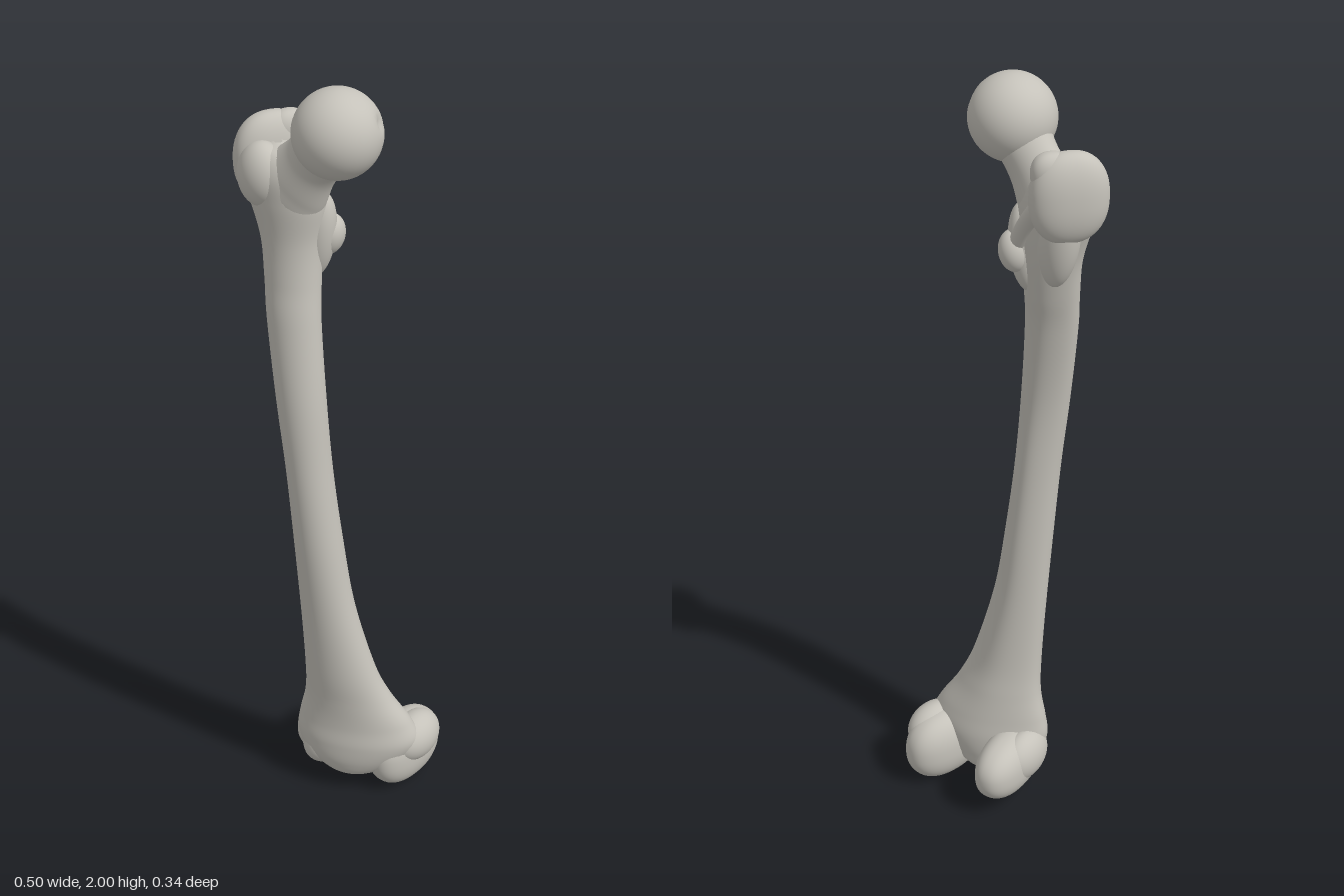
import * as THREE from 'three';
import { mergeVertices } from 'three/addons/utils/BufferGeometryUtils.js';

const bone = new THREE.MeshStandardMaterial({ color: 0xc5c2ba });
bone.name = 'bone grey';

function addPart(group, name, geometry) {
  const mesh = new THREE.Mesh(geometry, bone);
  mesh.name = name;
  group.add(mesh);
  return mesh;
}

// Smooth skin through oval sections [x, y, z, halfAcross, halfDepth, shear].
// "across" is the direction of the first half-width; depth runs along z.
function loft(sections, across, pinch, rings = 120, sides = 48) {
  const curve = (pick) => new THREE.CatmullRomCurve3(
    sections.map((s) => new THREE.Vector3(...pick(s))), false, 'catmullrom', 0.5);
  const centres = curve((s) => s.slice(0, 3));
  const sizes = curve((s) => s.slice(3, 6));
  const pos = [], index = [];
  for (let i = 0; i <= rings; i++) {
    const c = centres.getPoint(i / rings), r = sizes.getPoint(i / rings);
    for (let j = 0; j < sides; j++) {
      const a = (j / sides) * Math.PI * 2;
      const back = Math.max(0, Math.sin(a));
      // the back narrows to a blunt ridge
      const u = Math.max(r.x, 0.001) * Math.cos(a) * (1 - pinch * back * back);
      const v = Math.max(r.y, 0.001) * Math.sin(a);
      pos.push(c.x + across.x * u, c.y + across.y * u, c.z - v + r.z * u);
      if (i < rings) {
        const p = i * sides + j, q = i * sides + ((j + 1) % sides);
        index.push(p, q, p + sides, q, q + sides, p + sides);
      }
    }
  }
  const g = new THREE.BufferGeometry();
  g.setAttribute('position', new THREE.Float32BufferAttribute(pos, 3));
  g.setIndex(index);
  g.computeVertexNormals();
  return g;
}

// Ball whose vertices are moved by a rule, with seamless smooth normals.
function shapedBall(rule) {
  const g = new THREE.SphereGeometry(1, 48, 32);
  g.deleteAttribute('uv');
  g.deleteAttribute('normal');
  const p = g.attributes.position, v = new THREE.Vector3();
  for (let i = 0; i < p.count; i++) {
    v.fromBufferAttribute(p, i);
    rule(v);
    p.setXYZ(i, v.x, v.y, v.z);
  }
  const merged = mergeVertices(g, 1e-5);
  merged.computeVertexNormals();
  return merged;
}

// Rounded lump: slightly squared ellipsoid, turned about y then leaned about z.
function addLump(group, name, centre, radii, turn = 0, lean = 0, square = 0.88) {
  const swell = (n) => Math.sign(n) * Math.pow(Math.abs(n), square);
  const g = shapedBall((v) => v.set(swell(v.x) * radii[0], swell(v.y) * radii[1], swell(v.z) * radii[2]));
  const mesh = addPart(group, name, g);
  mesh.position.set(...centre);
  mesh.rotation.set(0, turn, lean);
}

export function createModel() {
  const model = new THREE.Group();
  model.name = 'thighBone';

  // Bowed shaft: height, right edge, left edge, back, front, shear
  const shaft = [
    [0.045, 0.04, 0.06, 0.01, 0.03, 0],
    [0.055, -0.02, 0.13, -0.05, 0.08, -0.1],
    [0.10, -0.075, 0.19, -0.065, 0.10, -0.15],
    [0.16, -0.095, 0.225, -0.07, 0.103, -0.18],
    [0.22, -0.088, 0.205, -0.06, 0.10, -0.18],
    [0.30, -0.072, 0.158, -0.042, 0.105, -0.12],
    [0.40, -0.068, 0.12, -0.022, 0.115, -0.06],
    [0.60, -0.075, 0.07, 0.0, 0.125, 0],
    [0.80, -0.085, 0.04, 0.01, 0.135, 0],
    [1.00, -0.10, 0.016, 0.017, 0.14, 0],
    [1.20, -0.125, 0.0, 0.02, 0.138, 0],
    [1.40, -0.155, -0.02, 0.005, 0.12, 0],
    [1.50, -0.168, -0.027, -0.012, 0.105, 0],
    [1.60, -0.183, -0.028, -0.028, 0.096, 0],
    [1.70, -0.215, -0.018, -0.035, 0.10, 0],
    [1.77, -0.24, -0.03, -0.035, 0.10, 0],
    [1.815, -0.215, -0.07, -0.02, 0.08, 0],
    [1.83, -0.15, -0.13, 0.02, 0.04, 0],
  ].map(([y, x0, x1, z0, z1, shear]) =>
    [(x0 + x1) / 2, y, (z0 + z1) / 2, (x1 - x0) / 2, (z1 - z0) / 2, shear]);
  addPart(model, 'shaft', loft(shaft, new THREE.Vector3(1, 0, 0), 0.2, 170));

  // Neck rising from the shaft into the head
  const neck = [
    [-0.15, 1.67, 0.035, 0.02, 0.02, 0],
    [-0.125, 1.70, 0.036, 0.098, 0.058, 0],
    [-0.09, 1.745, 0.04, 0.09, 0.06, 0],
    [-0.05, 1.80, 0.046, 0.072, 0.057, 0],
    [-0.015, 1.845, 0.055, 0.07, 0.064, 0],
    [0.02, 1.885, 0.064, 0.078, 0.075, 0],
  ];
  addPart(model, 'neck', loft(neck, new THREE.Vector3(0.75, -0.66, 0), 0.05, 50));

  // Ball head with a shallow ligament pit
  const pit = new THREE.Vector3(0.9, 0.3, -0.27).normalize();
  const head = addPart(model, 'head', shapedBall((v) => {
    const d = v.distanceTo(pit);
    v.multiplyScalar(0.104 - 0.011 * Math.exp(-((d / 0.17) ** 2)));
  }));
  head.position.set(0.028, 1.896, 0.066);

  // Greater trochanter: hooked mass on the outer side
  addLump(model, 'greaterTrochanter', [-0.176, 1.775, -0.004], [0.05, 0.11, 0.093], -0.7);
  addLump(model, 'trochanterFront', [-0.168, 1.755, 0.058], [0.062, 0.08, 0.055], -0.3, 0, 1);
  addLump(model, 'trochanterTip', [-0.145, 1.835, -0.03], [0.034, 0.05, 0.048], -0.7);
  addLump(model, 'trochanterRoot', [-0.15, 1.67, 0.0], [0.05, 0.13, 0.045], 0, 0.12, 1);

  // Lesser trochanter and the crest joining the two
  addLump(model, 'lesserTrochanter', [-0.03, 1.605, -0.006], [0.038, 0.052, 0.041], 0, -0.2, 1);
  addLump(model, 'lesserTrochanterRoot', [-0.045, 1.61, 0.015], [0.04, 0.11, 0.04], 0, -0.12, 1);
  const crest = new THREE.CatmullRomCurve3([
    new THREE.Vector3(-0.035, 1.62, -0.008),
    new THREE.Vector3(-0.075, 1.69, -0.024),
    new THREE.Vector3(-0.135, 1.77, -0.045),
  ]);
  addPart(model, 'crest', new THREE.TubeGeometry(crest, 24, 0.022, 16));

  // Knee end: two condyles with side bulges, leaving a notch behind
  addLump(model, 'medialCondyle', [0.167, 0.1, -0.052], [0.066, 0.1, 0.119], -0.25);
  addLump(model, 'medialEpicondyle', [0.195, 0.14, -0.055], [0.058, 0.068, 0.085], -0.2, 0, 1);
  addLump(model, 'lateralCondyle', [-0.036, 0.114, -0.033], [0.066, 0.084, 0.132], 0.08);
  addLump(model, 'lateralEpicondyle', [-0.066, 0.13, -0.01], [0.05, 0.07, 0.085], 0, 0, 1);

  return model;
}
